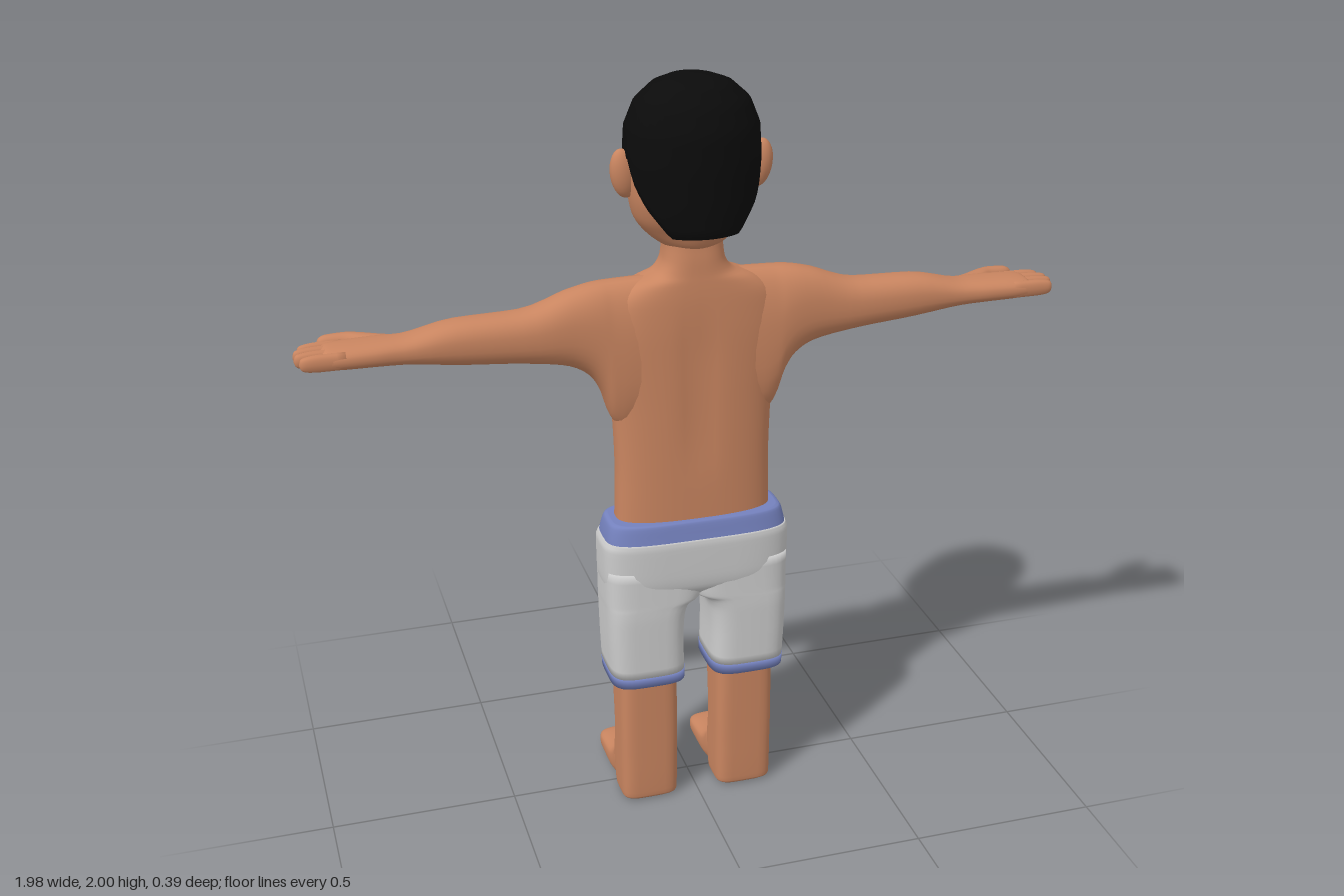
import * as THREE from 'three';

const mat = (color) => new THREE.MeshStandardMaterial({ color, roughness: 0.85, side: THREE.DoubleSide });
const skin = mat(0xc98560), black = mat(0x0b0b0b), cloth = mat(0xcccccc), blue = mat(0x7481bd);
const white = mat(0xe8e8e8), lip = mat(0x8a4c3a);

// Monotone smooth sample of a table of rows at fractional index s
function sample(rows, s) {
  const i = Math.min(Math.floor(s), rows.length - 2), u = s - i;
  return rows[0].map((_, k) => {
    const d = (j) => rows[j + 1][k] - rows[j][k];
    const slope = (j) => {
      if (j === 0) return d(0);
      if (j === rows.length - 1) return d(j - 1);
      const p = d(j - 1), q = d(j);
      return p * q > 0 ? (2 * p * q) / (p + q) : 0;
    };
    const a = rows[i][k], b = rows[i + 1][k], u2 = u * u, u3 = u2 * u;
    return a * (2 * u3 - 3 * u2 + 1) + b * (3 * u2 - 2 * u3) + slope(i) * (u3 - 2 * u2 + u) + slope(i + 1) * (u3 - u2);
  });
}

// Join closed rings of points into a capped skin
function skinRings(rings, flip) {
  const n = rings[0].length, pos = [], index = [];
  rings.forEach((r) => r.forEach((p) => pos.push(...p)));
  const tri = (a, b, c) => (flip ? index.push(a, c, b) : index.push(a, b, c));
  for (let i = 0; i < rings.length - 1; i++) {
    for (let j = 0; j < n; j++) {
      const a = i * n + j, b = i * n + ((j + 1) % n);
      tri(a, b, b + n);
      tri(a, b + n, a + n);
    }
  }
  [0, rings.length - 1].forEach((i) => {
    const c = pos.length / 3;
    pos.push(...[0, 1, 2].map((k) => rings[i].reduce((s, p) => s + p[k], 0) / n));
    for (let j = 0; j < n; j++) {
      const a = i * n + j, b = i * n + ((j + 1) % n);
      if (i === 0) tri(c, b, a); else tri(c, a, b);
    }
  });
  const g = new THREE.BufferGeometry();
  g.setAttribute('position', new THREE.Float32BufferAttribute(pos, 3));
  g.setIndex(index);
  g.computeVertexNormals();
  return g;
}

// Rows are [position, aMin, aMax, bMin, bMax]; a,b = x,z on y, y,z on x, x,y on z
function loft(axis, rows, power = 2.5, sides = 28, steps = 4) {
  const rings = [], count = (rows.length - 1) * steps;
  const pw = (v) => Math.sign(v) * Math.pow(Math.abs(v), 2 / power);
  for (let i = 0; i <= count; i++) {
    const [t, a0, a1, b0, b1] = sample(rows, i / steps), ring = [];
    for (let j = 0; j < sides; j++) {
      const w = (j / sides) * Math.PI * 2;
      const a = (a0 + a1) / 2 + ((a1 - a0) / 2) * pw(Math.cos(w));
      const b = (b0 + b1) / 2 + ((b1 - b0) / 2) * pw(Math.sin(w));
      ring.push(axis === 'y' ? [a, t, b] : axis === 'x' ? [t, a, b] : [a, b, t]);
    }
    rings.push(ring);
  }
  return skinRings(rings, (axis === 'y') !== (rows[rows.length - 1][0] < rows[0][0]));
}

const sym = (rows) => rows.map(([y, w, z0, z1]) => [y, -w, w, z0, z1]);

function mirrored(geo) {
  const g = geo.clone().scale(-1, 1, 1), ix = g.index.array;
  for (let i = 0; i < ix.length; i += 3) [ix[i], ix[i + 1]] = [ix[i + 1], ix[i]];
  g.computeVertexNormals();
  return g;
}

const ellipsoid = (x, y, z, rx, ry, rz, tilt = 0, turn = 0) =>
  new THREE.SphereGeometry(1, 20, 14).scale(rx, ry, rz).rotateZ(tilt).rotateY(turn).translate(x, y, z);

// Hair shell: from a hairline that varies around the head up to the crown
function hairGeometry() {
  const line = [[0, 1.845], [0.3, 1.825], [0.5, 1.84], [0.8, 1.81], [0.98, 1.75], [1.25, 1.74], [1.42, 1.8],
    [1.75, 1.81], [1.92, 1.75], [2.2, 1.69], [2.5, 1.63], [3.15, 1.63]];
  const shape = [[1.6, 0.135, -0.07, 0.185], [1.7, 0.165, -0.092, 0.193], [1.8, 0.172, -0.1, 0.195],
    [1.88, 0.167, -0.098, 0.19], [1.94, 0.143, -0.075, 0.165], [1.98, 0.098, -0.045, 0.13],
    [1.995, 0.055, -0.015, 0.09], [2, 0.002, 0.035, 0.04]];
  const find = (rows, v) => {
    let i = 0;
    while (i < rows.length - 2 && rows[i + 1][0] < v) i++;
    const u = Math.min(1, (v - rows[i][0]) / (rows[i + 1][0] - rows[i][0]));
    return rows[i].map((a, k) => a + (rows[i + 1][k] - a) * u);
  };
  const rings = [], n = 72, steps = 24;
  for (let i = -1; i <= steps; i++) {
    const ring = [], v = Math.sin((Math.max(i, 0) / steps) * Math.PI / 2);
    for (let j = 0; j < n; j++) {
      const w = (j / n) * Math.PI * 2, low = find(line, Math.min(w, Math.PI * 2 - w))[1];
      const [y, r, zf, zb] = find(shape, low + (2 - low) * v);
      const c = 0.04, k = i < 0 ? 0.72 : 1, cos = Math.cos(w);
      ring.push([k * r * Math.sin(w), y, c - k * cos * (cos > 0 ? c - zf : zb - c)]);
    }
    rings.push(ring);
  }
  return skinRings(rings, false);
}

export function createModel() {
  const model = new THREE.Group();
  const add = (name, geo, material, parent = model) => {
    const m = new THREE.Mesh(geo, material);
    m.name = name;
    parent.add(m);
  };
  const pair = (name, geo, material) => {
    add('left' + name, geo, material);
    add('right' + name, mirrored(geo), material);
  };

  // Torso and neck, with a shallow groove down chest and spine
  const torso = loft('y', sym([[0.78, 0.21, -0.03, 0.12], [0.9, 0.207, -0.03, 0.12], [1.0, 0.205, -0.03, 0.12],
    [1.15, 0.21, -0.036, 0.12], [1.25, 0.222, -0.038, 0.12], [1.35, 0.235, -0.038, 0.12], [1.44, 0.215, -0.034, 0.118],
    [1.49, 0.16, -0.028, 0.115], [1.515, 0.1, -0.024, 0.113], [1.55, 0.079, -0.022, 0.111],
    [1.59, 0.075, -0.02, 0.107], [1.64, 0.075, -0.02, 0.105]]), 2.7, 56);
  const p = torso.attributes.position;
  for (let i = 0; i < p.count; i++) {
    const x = p.getX(i), y = p.getY(i), z = p.getZ(i);
    const dip = 0.01 * Math.exp(-((x / 0.035) ** 2)) * Math.exp(-(((y - 1.2) / 0.2) ** 4));
    p.setZ(i, z - Math.sign(z - 0.04) * dip);
  }
  torso.computeVertexNormals();
  add('torso', torso, skin);

  // Arms
  pair('Arm', loft('x', [[0.1, 1.1, 1.505, -0.025, 0.108], [0.175, 1.1, 1.502, -0.032, 0.11],
    [0.212, 1.13, 1.5, -0.034, 0.109], [0.24, 1.21, 1.498, -0.032, 0.107], [0.27, 1.257, 1.494, -0.028, 0.105],
    [0.32, 1.288, 1.482, -0.023, 0.102], [0.44, 1.31, 1.443, -0.02, 0.098], [0.6, 1.325, 1.437, -0.018, 0.095],
    [0.73, 1.342, 1.41, -0.014, 0.09], [0.8, 1.345, 1.408, -0.022, 0.094], [0.87, 1.347, 1.406, -0.02, 0.096],
    [0.91, 1.35, 1.402, -0.017, 0.094], [0.925, 1.362, 1.393, -0.005, 0.085]], 2.4, 32), skin);

  // Fingers and thumbs
  [0.978, 0.99, 0.99, 0.98].forEach((tip, i) => {
    const z = -0.003 + i * 0.028;
    pair('Finger' + (i + 1), loft('x', [[0.87, 1.355, 1.4, z - 0.014, z + 0.014], [0.93, 1.355, 1.4, z - 0.0135, z + 0.0135],
      [tip - 0.015, 1.358, 1.396, z - 0.012, z + 0.012], [tip - 0.004, 1.364, 1.391, z - 0.008, z + 0.008],
      [tip, 1.374, 1.38, z - 0.002, z + 0.002]], 2.2, 12, 3), skin);
  });
  pair('Thumb', loft('x', [[0.7, 1.36, 1.395, 0, 0.03], [0.76, 1.352, 1.402, -0.026, 0.03], [0.82, 1.35, 1.402, -0.06, 0.005],
    [0.86, 1.354, 1.4, -0.071, -0.026], [0.905, 1.358, 1.396, -0.071, -0.036], [0.92, 1.366, 1.388, -0.066, -0.043],
    [0.925, 1.374, 1.38, -0.057, -0.052]], 2.2, 16), skin);

  // Legs and feet
  pair('Leg', loft('y', [[0, 0.07, 0.2, 0.005, 0.11], [0.012, 0.057, 0.213, -0.005, 0.12], [0.1, 0.055, 0.215, -0.02, 0.122],
    [0.2, 0.055, 0.215, -0.007, 0.122], [0.3, 0.055, 0.215, -0.018, 0.122], [0.45, 0.055, 0.215, -0.04, 0.122]], 4.5, 36), skin);
  pair('Foot', loft('z', [[0.1, 0.062, 0.208, 0.003, 0.12], [0.01, 0.056, 0.213, 0.002, 0.14], [-0.02, 0.055, 0.214, 0.002, 0.105],
    [-0.06, 0.055, 0.215, 0.003, 0.077], [-0.14, 0.055, 0.215, 0.008, 0.064], [-0.17, 0.06, 0.21, 0.013, 0.058],
    [-0.186, 0.072, 0.198, 0.02, 0.05], [-0.192, 0.1, 0.17, 0.03, 0.04]], 3.2, 32), skin);

  // Shorts: hips, legs, waistband and hems
  add('shortsHips', loft('y', sym([[0.63, 0.2, -0.03, 0.12], [0.66, 0.247, -0.05, 0.143], [0.7, 0.253, -0.055, 0.148],
    [0.78, 0.254, -0.055, 0.149], [0.802, 0.247, -0.05, 0.146]]), 4, 48), cloth);
  add('waistband', loft('y', sym([[0.798, 0.246, -0.049, 0.146], [0.815, 0.243, -0.044, 0.142],
    [0.847, 0.233, -0.036, 0.134], [0.852, 0.222, -0.032, 0.128]]), 4, 48), blue);
  pair('ShortsLeg', loft('y', [[0.405, 0.036, 0.242, -0.055, 0.148], [0.5, 0.038, 0.246, -0.055, 0.148],
    [0.57, 0.034, 0.248, -0.055, 0.148], [0.605, 0.02, 0.249, -0.054, 0.147], [0.625, -0.01, 0.25, -0.053, 0.146],
    [0.72, -0.02, 0.251, -0.05, 0.142]], 4, 40), cloth);
  pair('Hem', loft('y', [[0.38, 0.035, 0.241, -0.056, 0.149], [0.408, 0.035, 0.243, -0.056, 0.149]], 4, 40, 1), blue);

  // Head, facing the back of the frame
  add('head', loft('y', sym([[1.575, 0.06, -0.03, 0.1], [1.59, 0.088, -0.055, 0.115], [1.62, 0.122, -0.075, 0.128],
    [1.66, 0.147, -0.086, 0.15], [1.72, 0.159, -0.092, 0.17], [1.8, 0.162, -0.095, 0.175], [1.88, 0.152, -0.086, 0.165],
    [1.94, 0.12, -0.055, 0.135], [1.97, 0.05, 0, 0.08]]), 2.1, 48), skin);
  add('hair', hairGeometry(), black);
  pair('Ear', ellipsoid(0.172, 1.768, 0.042, 0.034, 0.062, 0.026, -0.15, -0.2), skin);

  // Face
  add('nose', loft('y', sym([[1.665, 0.008, -0.092, -0.07], [1.678, 0.025, -0.107, -0.07], [1.695, 0.027, -0.117, -0.07],
    [1.73, 0.017, -0.107, -0.07], [1.79, 0.009, -0.094, -0.07]]), 2, 20), skin);
  pair('Eye', ellipsoid(0.06, 1.765, -0.083, 0.025, 0.013, 0.007, 0, -0.35), white);
  pair('Pupil', ellipsoid(0.059, 1.765, -0.088, 0.01, 0.011, 0.005, 0, -0.35), black);
  pair('Eyebrow', ellipsoid(0.063, 1.797, -0.086, 0.034, 0.007, 0.006, -0.12, -0.35), black);
  add('upperLip', ellipsoid(0, 1.65, -0.082, 0.038, 0.008, 0.016), lip);
  add('lowerLip', ellipsoid(0, 1.638, -0.079, 0.031, 0.008, 0.014), lip);
  return model;
}
